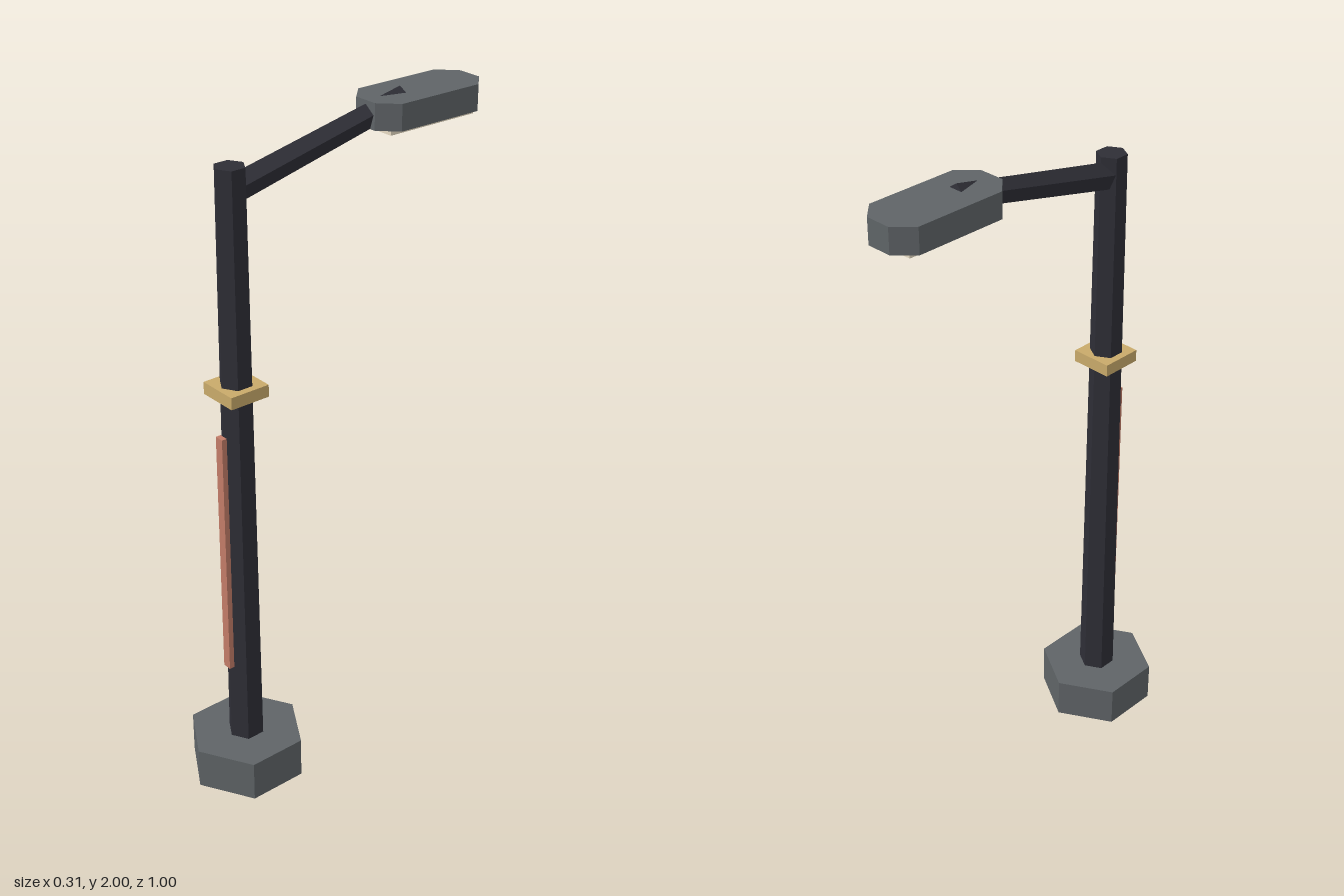
import * as THREE from 'three';

const material = (name, color) => {
  const m = new THREE.MeshStandardMaterial({ color });
  m.name = name;
  return m;
};

export function createModel() {
  const lamp = new THREE.Group();
  lamp.name = 'streetLamp';
  const darkMetal = material('darkMetal', 0x2e2e36);
  const grey = material('grey', 0x5f6467);
  const brass = material('brass', 0xc9aa6a);
  const copper = material('copper', 0xc27c68);
  const cream = material('cream', 0xe8dcc4);
  const poleZ = 0.325;

  const add = (name, geometry, mat, x, y, z) => {
    // unshared corners keep every facet flat
    const flat = geometry.index ? geometry.toNonIndexed() : geometry;
    flat.computeVertexNormals();
    const mesh = new THREE.Mesh(flat, mat);
    mesh.name = name;
    mesh.position.set(x, y, z);
    lamp.add(mesh);
    return mesh;
  };

  // hexagonal foot and tapered hexagonal pole
  add('base', new THREE.CylinderGeometry(0.177, 0.177, 0.127, 6), grey, 0, 0.0635, poleZ);
  add('pole', new THREE.CylinderGeometry(0.0435, 0.055, 1.785, 6), darkMetal, 0, 1.0125, poleZ);

  // square collar and inlaid strip on the front edge
  add('collar', new THREE.BoxGeometry(0.125, 0.036, 0.125), brass, 0, 1.275, poleZ);
  add('frontStrip', new THREE.BoxGeometry(0.028, 0.762, 0.016), copper, 0, 0.764, 0.38);

  // five-sided tapered arm with its ridge on top
  const start = new THREE.Vector3(0, 1.84, poleZ);
  const end = new THREE.Vector3(0, 1.968, -0.252);
  const length = start.distanceTo(end);
  const armGeometry = new THREE.CylinderGeometry(0.033, 0.039, length, 5);
  armGeometry.rotateX(-Math.PI / 2); // axis to -z, first corner to +y
  armGeometry.rotateX(Math.atan2(end.y - start.y, start.z - end.z));
  const mid = start.clone().add(end).multiplyScalar(0.5);
  add('arm', armGeometry, darkMetal, mid.x, mid.y, mid.z);

  // lamp head: a rectangle with cut corners
  const w = 0.089, l = 0.189, cut = 0.051;
  const outline = new THREE.Shape([
    [w, -l + cut], [w, l - cut], [w - cut, l], [-w + cut, l],
    [-w, l - cut], [-w, -l + cut], [-w + cut, -l], [w - cut, -l],
  ].map(([x, y]) => new THREE.Vector2(x, y)));
  const headGeometry = new THREE.ExtrudeGeometry(outline, { depth: 0.075, bevelEnabled: false });
  headGeometry.rotateX(-Math.PI / 2);
  add('lampHead', headGeometry, grey, 0, 1.91, -0.313);

  // glowing panel below the head
  add('lens', new THREE.BoxGeometry(0.125, 0.02, 0.3), cream, 0, 1.905, -0.31);

  return lamp;
}
